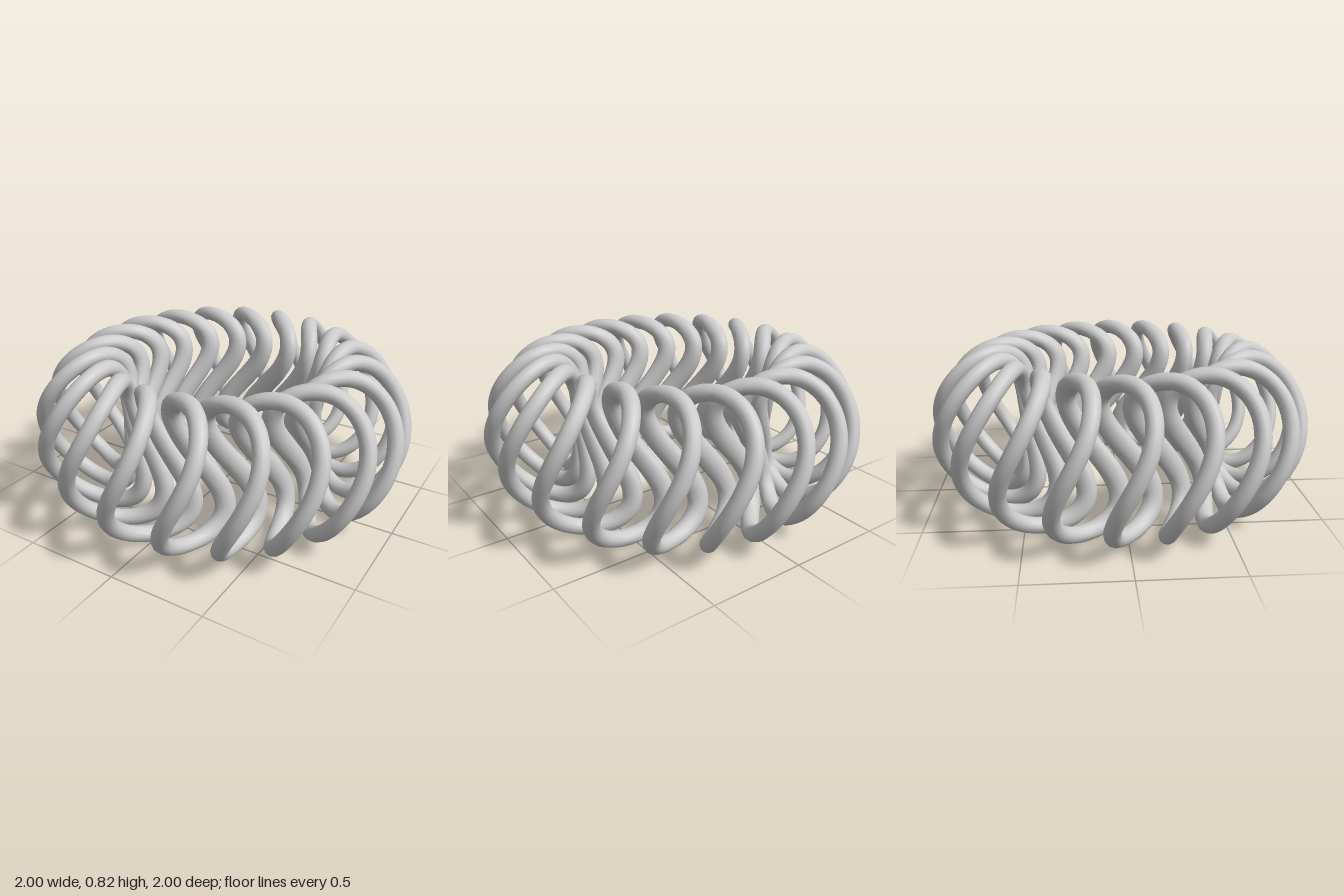
import * as THREE from 'three';

const LOOPS = 20;            // twisted loops around the ring
const STEPS = 72, SIDES = 12;
const THICK = 0.041;

// 0 on the outside of the ring, 1 on the inner wall
const inward = (p) => ((1 - Math.cos(p)) / 2) ** 2;

// Centre line of one loop: rounded outside, nearly upright inner wall,
// swaying sideways twice per turn and more strongly on the inside
function centre(p) {
  const r = 0.73 + 0.23 * Math.cos(p) - 0.07 * Math.sin(p) ** 2;
  const angle = (0.1 + 0.2 * inward(p)) * Math.sin(2 * p);
  return new THREE.Vector3(r * Math.sin(angle), 0.41 + 0.369 * Math.sin(p), r * Math.cos(angle));
}

// Closed tube along the centre line, a little broader on the inner wall
function loopGeometry() {
  const pos = [], index = [];
  for (let i = 0; i < STEPS; i++) {
    const p = (i / STEPS) * Math.PI * 2;
    const c = centre(p);
    const t = centre(p + 0.001).sub(centre(p - 0.001)).normalize();
    const radial = new THREE.Vector3(c.x, 0, c.z).normalize();
    const n = radial.clone().multiplyScalar(t.y);
    n.y = -t.dot(radial);
    n.normalize();
    const b = new THREE.Vector3().crossVectors(t, n);
    const wide = THICK + 0.015 * inward(p);
    for (let j = 0; j < SIDES; j++) {
      const v = (j / SIDES) * Math.PI * 2;
      const q = c.clone()
        .addScaledVector(n, THICK * Math.cos(v))
        .addScaledVector(b, wide * Math.sin(v));
      pos.push(q.x, q.y, q.z);
      const i2 = (i + 1) % STEPS, j2 = (j + 1) % SIDES;
      const a = i * SIDES + j, d = i * SIDES + j2;
      const e = i2 * SIDES + j, f = i2 * SIDES + j2;
      index.push(a, d, e, d, f, e);
    }
  }
  const g = new THREE.BufferGeometry();
  g.setAttribute('position', new THREE.Float32BufferAttribute(pos, 3));
  g.setIndex(index);
  g.computeVertexNormals();
  return g;
}

export function createModel() {
  const model = new THREE.Group();
  model.name = 'twistedLoopRing';
  const material = new THREE.MeshStandardMaterial({ color: 0xcccccc });
  const geometry = loopGeometry();
  // Loops spaced evenly around the vertical axis
  for (let k = 0; k < LOOPS; k++) {
    const loop = new THREE.Mesh(geometry, material);
    loop.name = `twistedLoop${k + 1}`;
    loop.rotation.y = (k / LOOPS) * Math.PI * 2;
    model.add(loop);
  }
  return model;
}
